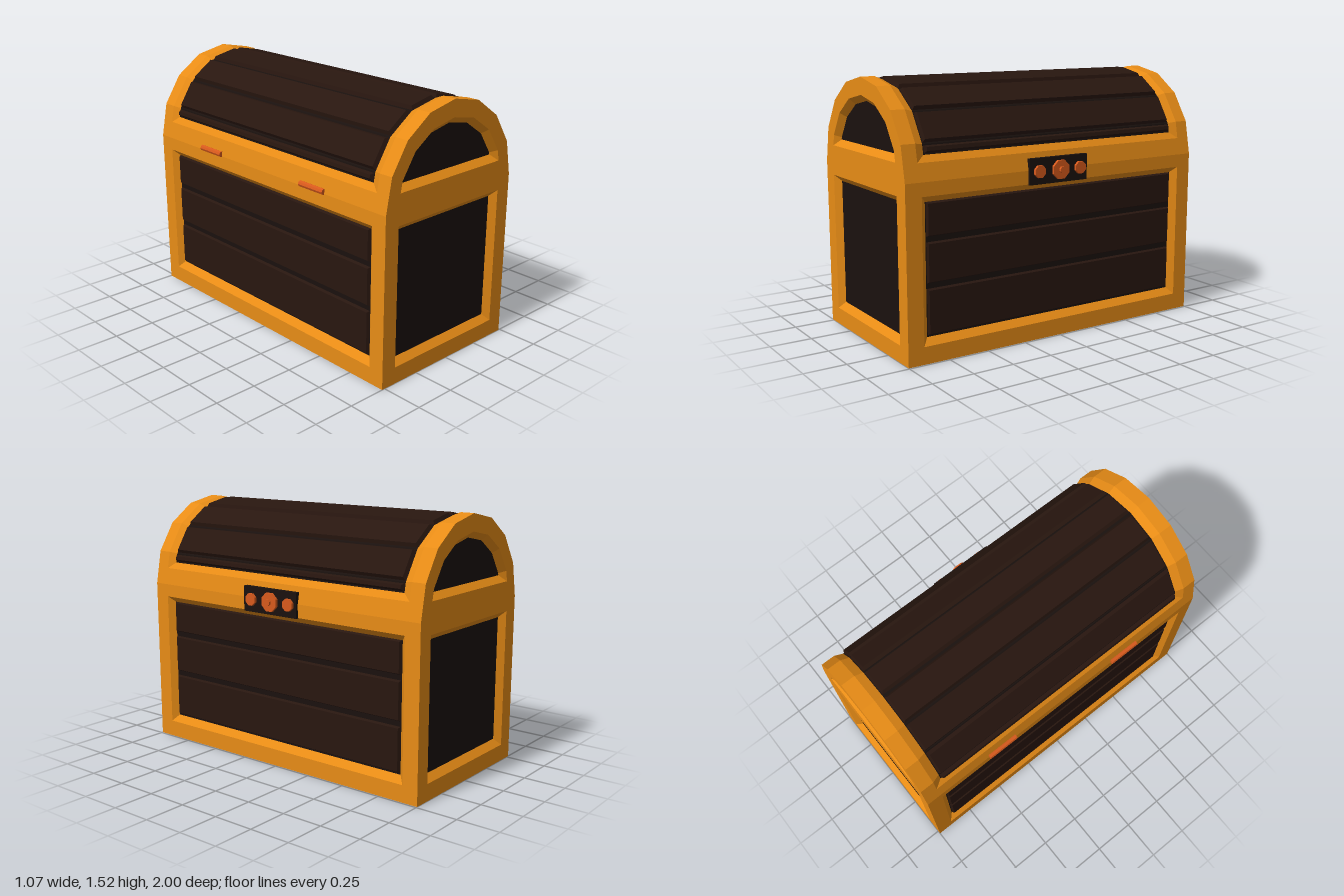
import * as THREE from 'three';

const mat = (color) => new THREE.MeshStandardMaterial({ color, flatShading: true });
const HX = 0.505, HZ = 1, SEAM = 1.0, RISE = 0.525;

// Faceted mesh from quads between matching loops, outer to inner
function bands(loops, closed = true) {
  const pos = [];
  for (let k = 0; k + 1 < loops.length; k++) {
    const a = loops[k], b = loops[k + 1], n = a.length;
    for (let i = 0; i < (closed ? n : n - 1); i++) {
      const j = (i + 1) % n;
      for (const p of [a[i], a[j], b[j], a[i], b[j], b[i]]) pos.push(...p);
    }
  }
  return toGeometry(pos);
}

// Flat convex face filling a loop
function cap(loop) {
  const pos = [];
  for (let i = 1; i + 1 < loop.length; i++) pos.push(...loop[0], ...loop[i], ...loop[i + 1]);
  return toGeometry(pos);
}

function toGeometry(pos) {
  const g = new THREE.BufferGeometry();
  g.setAttribute('position', new THREE.Float32BufferAttribute(pos, 3));
  g.computeVertexNormals();
  return g;
}

const rect = (hx, y0, y1, z) => [[-hx, y0, z], [hx, y0, z], [hx, y1, z], [-hx, y1, z]];

// Eight-sided half arch, its feet cut off level at yMin
function arch(rx, ry, yMin, z) {
  const pts = [];
  for (let i = 0; i <= 8; i++) {
    const a = (i * Math.PI) / 8;
    pts.push([rx * Math.cos(a), SEAM + ry * Math.sin(a), z]);
  }
  const t = (yMin - SEAM) / (pts[1][1] - SEAM);
  const x = rx + (pts[1][0] - rx) * t;
  pts[0] = [x, yMin, z];
  pts[8] = [-x, yMin, z];
  return pts;
}

// Plank standing on y = 0 with a chamfered top
function slab(w, h, l, chamfer) {
  const g = new THREE.BoxGeometry(w, h, l).translate(0, h / 2, 0);
  const p = g.attributes.position;
  for (let i = 0; i < p.count; i++) {
    if (p.getY(i) < h / 2) continue;
    p.setX(i, p.getX(i) - Math.sign(p.getX(i)) * chamfer);
    p.setZ(i, p.getZ(i) - Math.sign(p.getZ(i)) * chamfer);
  }
  g.computeVertexNormals();
  return g;
}

export function createModel() {
  const gold = mat(0xe88c16), wood = mat(0x28160f), dark = mat(0x1a110e), copper = mat(0xd85a1c);
  const model = new THREE.Group();
  model.name = 'chest';
  const add = (name, geometry, material, parent = model) => {
    const m = new THREE.Mesh(geometry, material);
    m.name = name;
    parent.add(m);
    return m;
  };

  // Body: a bevelled frame and sunken panel on each of four sides
  for (let k = 0; k < 4; k++) {
    const long = k % 2 === 1;
    const half = long ? HZ : HX, face = long ? HX : HZ;
    const side = new THREE.Group();
    side.name = long ? 'bodySide' : 'bodyEnd';
    side.rotation.y = (k * Math.PI) / 2;
    model.add(side);
    const inner = rect(half - 0.133, 0.14, 0.887, face - 0.035);
    add('bodyFrame', bands([rect(half, 0, SEAM, face), rect(half - 0.097, 0.1, 0.922, face), inner]), gold, side);
    add('bodyPanel', cap(inner), dark, side);
  }
  add('bodyBottom', cap([[-HX, 0, -HZ], [HX, 0, -HZ], [HX, 0, HZ], [-HX, 0, HZ]]), gold);

  // Three planks along each long side
  for (const s of [1, -1]) {
    for (const [y0, y1] of [[0.15, 0.41], [0.44, 0.667], [0.697, 0.887]]) {
      const plank = add('bodyPlank', slab(y1 - y0, 0.015, 1.725, 0.008), wood);
      plank.position.set(s * (HX - 0.035), (y0 + y1) / 2, 0);
      plank.rotation.z = (-s * Math.PI) / 2;
    }
  }

  // Lid ends: arched frame with a sunken panel
  for (const turn of [0, Math.PI]) {
    const end = new THREE.Group();
    end.name = 'lidEnd';
    end.rotation.y = turn;
    model.add(end);
    const inner = arch(0.385, 0.39, 1.137, HZ - 0.035);
    add('lidEndFrame', bands([arch(HX, RISE, SEAM, HZ), arch(0.42, 0.425, 1.1, HZ), inner]), gold, end);
    add('lidEndPanel', cap(inner), dark, end);
  }

  // Lid shell: edge bands and side rails around the barrel opening
  const RX = HX - 0.02, RY = RISE - 0.02;
  const around = (rx, ry, yMin, z) => [...arch(rx, ry, yMin, -z), ...arch(rx, ry, yMin, z).reverse()];
  add('lidFrame', bands([
    around(HX, RISE, SEAM, HZ), around(HX, RISE, 1.1, 0.915), around(RX, RY, 1.137, 0.865),
  ]), gold);
  const front = arch(RX, RY, 1.137, 0.865), back = arch(RX, RY, 1.137, -0.865);
  add('lidBarrel', bands([front, back].reverse(), false).scale(1, 1, 1), dark).material.side = THREE.DoubleSide;

  // Lid planks, one on each facet of the barrel
  for (let i = 0; i < 8; i++) {
    const [ax, ay] = front[i], [bx, by] = front[i + 1];
    const plank = add('lidPlank', slab(Math.hypot(ax - bx, ay - by) - 0.016, 0.02, 1.72, 0.01), wood);
    plank.position.set((ax + bx) / 2, (ay + by) / 2, 0);
    plank.rotation.z = Math.atan2(ay - by, ax - bx);
  }

  // Lock plate with three studs and a centre pin
  add('lockPlate', new THREE.BoxGeometry(0.03, 0.15, 0.4), dark).position.set(0.505, 0.993, 0.025);
  const stud = (name, r, x0, x1, z) => {
    const g = new THREE.CylinderGeometry(r, r, x1 - x0, 8).rotateY(Math.PI / 8).rotateZ(Math.PI / 2);
    add(name, g, copper).position.set((x0 + x1) / 2, 0.993, z);
  };
  stud('lockStud', 0.038, 0.51, 0.537, 0.163);
  stud('lockStud', 0.038, 0.51, 0.537, -0.12);
  stud('lockBoss', 0.058, 0.51, 0.537, 0.018);
  stud('lockPin', 0.019, 0.53, 0.551, 0.018);

  // Hinge barrels on the opposite side
  for (const z of [0.443, -0.467]) {
    const g = new THREE.CylinderGeometry(0.018, 0.018, 0.193, 8).rotateX(Math.PI / 2);
    add('hinge', g, copper).position.set(-0.505, 1.012, z);
  }

  // Shift so that lock and hinges together are centred
  for (const child of model.children) child.position.x -= 0.014;
  return model;
}
